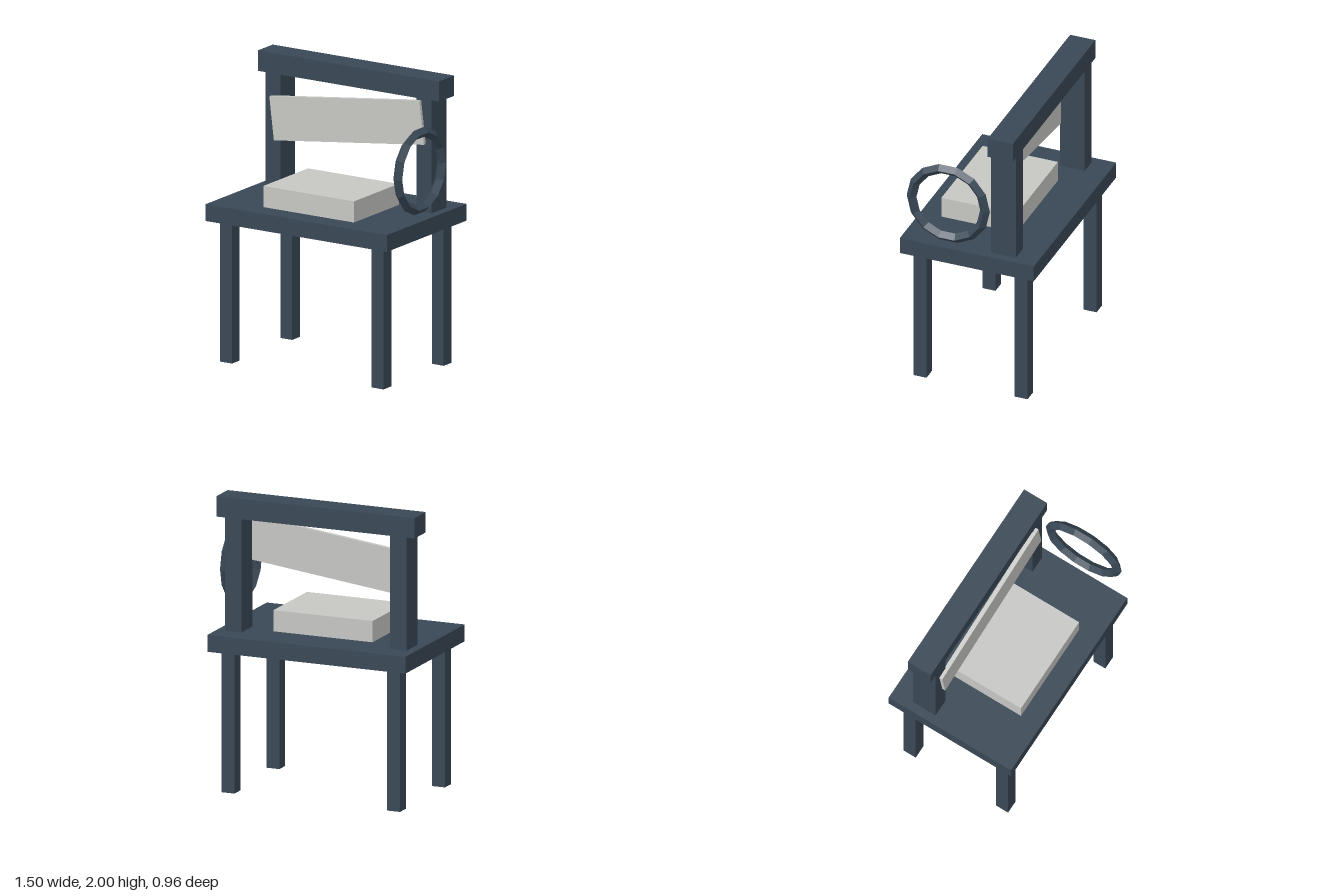
import * as THREE from 'three';

export function createModel() {
  const group = new THREE.Group();
  group.name = 'chair';
  const frame = new THREE.MeshStandardMaterial({ color: 0x394856, flatShading: true });
  frame.name = 'slate frame';
  const pale = new THREE.MeshStandardMaterial({ color: 0xc6c6c3, flatShading: true });
  pale.name = 'pale grey';

  function add(name, geometry, material, x, y, z) {
    const mesh = new THREE.Mesh(geometry, material);
    mesh.name = name;
    mesh.position.set(x, y, z);
    group.add(mesh);
    return mesh;
  }
  // Box given by its lower and upper limits on each axis
  function box(name, material, [x0, x1], [y0, y1], [z0, z1]) {
    return add(name, new THREE.BoxGeometry(x1 - x0, y1 - y0, z1 - z0), material,
      (x0 + x1) / 2, (y0 + y1) / 2, (z0 + z1) / 2);
  }

  // Seat board and cushion
  box('seat', frame, [-0.75, 0.69], [0.97, 1.085], [-0.48, 0.48]);
  box('cushion', pale, [-0.39, 0.33], [1.085, 1.23], [-0.21, 0.33]);

  // Legs and back posts, mirrored about the seat centre
  const middle = -0.03;
  for (const side of [-1, 1]) {
    const legX = middle + side * 0.602;
    for (const [name, z] of [['frontLeg', 0.365], ['backLeg', -0.36]]) {
      box(name, frame, [legX - 0.047, legX + 0.047], [0, 0.97], [z - 0.047, z + 0.047]);
    }
    const postX = middle + side * 0.6;
    box('backPost', frame, [postX - 0.06, postX + 0.06], [1.085, 1.86], [-0.328, -0.15]);
  }

  // Top rail and the crooked slat fixed to the front of the posts
  box('topRail', frame, [-0.75, 0.69], [1.86, 2], [-0.33, -0.15]);
  const slat = add('backSlat', new THREE.BoxGeometry(1.2, 0.3, 0.03), pale, middle, 1.63, -0.142);
  slat.rotation.z = 0.121;

  // Faceted ring beside the seat
  const ring = add('sideRing', new THREE.TorusGeometry(0.263, 0.035, 4, 14), frame, 0.715, 1.45, 0.122);
  ring.rotation.y = Math.PI / 2;

  return group;
}
